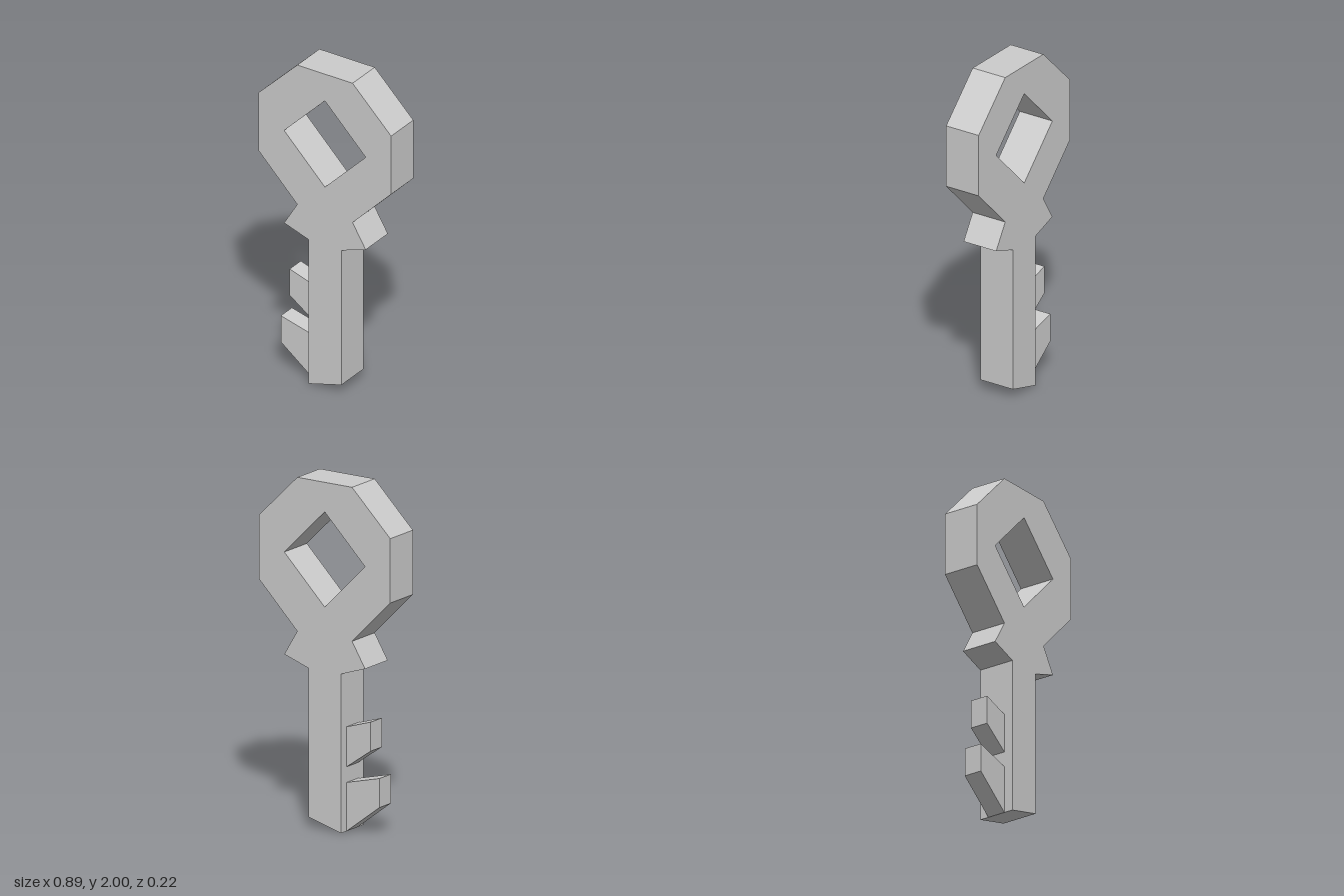
import * as THREE from 'three';

const material = new THREE.MeshStandardMaterial({ color: 0xcccccc, flatShading: true });
const toPoints = (pts) => pts.map(([x, y]) => new THREE.Vector2(x, y));

// Flat outline extruded evenly about z = 0
function plate(name, outline, depth, hole) {
  const shape = new THREE.Shape(toPoints(outline));
  if (hole) shape.holes.push(new THREE.Path(toPoints(hole)));
  const geometry = new THREE.ExtrudeGeometry(shape, { depth, bevelEnabled: false });
  geometry.translate(0, 0, -depth / 2);
  const mesh = new THREE.Mesh(geometry, material);
  mesh.name = name;
  return mesh;
}

export function createModel() {
  const key = new THREE.Group();
  key.name = 'key';
  const thickness = 0.22;

  // Octagonal bow, flared collar and shaft in one outline with a diamond hole
  const side = [[0.11, 0.915], [0.273, 0.97], [0.185, 1.115], [0.443, 1.375], [0.443, 1.745], [0.185, 2]];
  const mirrored = side.map(([x, y]) => [-x, y]).reverse();
  const diamond = [[0, 1.283], [-0.273, 1.557], [0, 1.83], [0.273, 1.557]];
  key.add(plate('bowAndShaft', [[-0.11, 0], [0.11, 0.06], ...side, ...mirrored], thickness, diamond));

  // Two teeth, half as thick as the shaft
  key.add(plate('upperTooth', [[-0.11, 0.37], [-0.11, 0.6], [-0.273, 0.652], [-0.273, 0.485]], thickness / 2));
  key.add(plate('lowerTooth', [[-0.11, 0], [-0.11, 0.28], [-0.332, 0.337], [-0.332, 0.17]], thickness / 2));

  return key;
}
